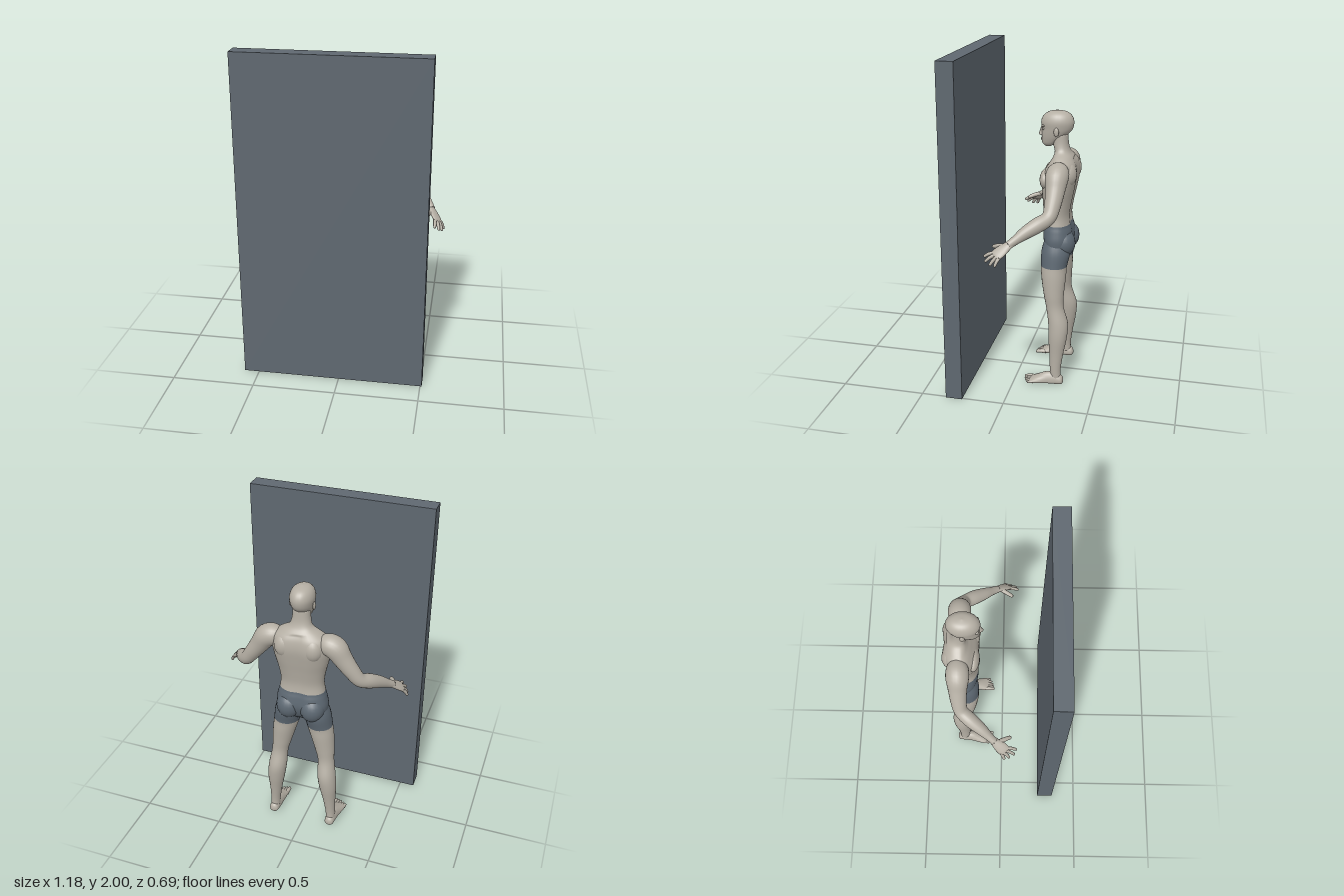
import * as THREE from 'three';

const skin = new THREE.MeshStandardMaterial({ color: 0xb5afa4 });
skin.name = 'skin';
const cloth = new THREE.MeshStandardMaterial({ color: 0x5d6872 });
cloth.name = 'shorts cloth';
const slate = new THREE.MeshStandardMaterial({ color: 0x5f6870 });
slate.name = 'panel slate';

// Smooth closed skin through rows of [x, y, z, halfWidth, front, back].
// ref: direction of the width; flat: keep the rings horizontal;
// split: row at which the second material starts; bulge(angle, y): radius factor.
function loft(parent, name, rows, opt = {}) {
  const { m = 1, ref = [1, 0, 0], flat = false, split, mats = [skin, skin], sides = 24, steps = 5, bulge, power = 1 } = opt;
  const segs = (rows.length - 1) * steps;
  const sample = (u) => {
    const i = Math.min(Math.floor(u), rows.length - 2), t = u - i;
    const r = (k) => rows[Math.max(0, Math.min(rows.length - 1, k))];
    return rows[0].map((_, k) => {
      const [a, b, c, d] = [r(i - 1)[k], r(i)[k], r(i + 1)[k], r(i + 2)[k]];
      return 0.5 * (2 * b + (c - a) * t + (2 * a - 5 * b + 4 * c - d) * t * t + (3 * b - a - 3 * c + d) * t * t * t);
    });
  };
  const rings = [];
  for (let i = 0; i <= segs; i++) rings.push(sample(i / steps));
  const pos = [], index = [];
  const at = (i) => new THREE.Vector3(...rings[Math.max(0, Math.min(segs, i))].slice(0, 3));
  const bend = (v) => Math.sign(v) * Math.abs(v) ** power;
  rings.forEach((r, i) => {
    const t = flat ? new THREE.Vector3(0, 1, 0) : at(i + 1).sub(at(i - 1)).normalize();
    const side = new THREE.Vector3(...ref);
    side.addScaledVector(t, -side.dot(t)).normalize();
    const fwd = side.clone().cross(t);
    for (let j = 0; j < sides; j++) {
      const a = (j / sides) * Math.PI * 2, c = Math.cos(a), s = Math.sin(a);
      const k = bulge ? bulge(c, s, r[1]) : 1;
      const p = at(i)
        .addScaledVector(side, bend(c) * Math.max(r[3], 0.001))
        .addScaledVector(fwd, bend(s) * k * Math.max(s > 0 ? r[4] : r[5], 0.001));
      pos.push(p.x * m, p.y, p.z);
    }
  });
  const tri = (a, b, c) => (m > 0 ? index.push(a, b, c) : index.push(a, c, b));
  for (let i = 0; i < segs; i++) {
    for (let j = 0; j < sides; j++) {
      const a = i * sides + j, b = i * sides + ((j + 1) % sides);
      tri(a, a + sides, b);
      tri(b, a + sides, b + sides);
    }
  }
  const cut = split === undefined ? index.length : split * steps * sides * 6;
  // end caps
  for (const [ring, up] of [[0, false], [segs, true]]) {
    for (let j = 1; j < sides - 1; j++) {
      const a = ring * sides;
      if (up) tri(a, a + j + 1, a + j); else tri(a, a + j, a + j + 1);
    }
  }
  const geo = new THREE.BufferGeometry();
  geo.setAttribute('position', new THREE.Float32BufferAttribute(pos, 3));
  geo.setIndex(index);
  geo.computeVertexNormals();
  if (split !== undefined) {
    geo.addGroup(0, cut, 0);
    geo.addGroup(cut, index.length - cut, 1);
  }
  const mesh = new THREE.Mesh(geo, split === undefined ? mats[0] : mats);
  mesh.name = name;
  parent.add(mesh);
}

// Ellipsoid for soft forms
function ball(parent, name, [x, y, z], [rx, ry, rz], mat = skin) {
  const mesh = new THREE.Mesh(new THREE.SphereGeometry(1, 20, 14).scale(rx, ry, rz), mat);
  mesh.position.set(x, y, z);
  mesh.name = name;
  parent.add(mesh);
}

// Tapered, rounded finger or toe from a to b
function digit(parent, name, a, b, r, m, lift = 0.004) {
  const row = (t, k) => [0, 1, 2].map((i) => a[i] + (b[i] - a[i]) * t + (i === 1 ? lift * Math.sin(t * Math.PI) : 0)).concat([r * k, r * k, r * k]);
  loft(parent, name, [row(0, 1), row(0.5, 0.95), row(0.88, 0.8), row(0.97, 0.5), row(1, 0.05)], { m, sides: 10, steps: 3 });
}

function buildHead(body) {
  loft(body, 'head', [
    [0, 1.452, -0.16, 0.012, 0.015, 0.015], [0, 1.47, -0.175, 0.036, 0.05, 0.03],
    [0, 1.5, -0.19, 0.051, 0.069, 0.05], [0, 1.53, -0.2, 0.06, 0.079, 0.078],
    [0, 1.56, -0.21, 0.066, 0.088, 0.092], [0, 1.6, -0.215, 0.07, 0.098, 0.095],
    [0, 1.635, -0.215, 0.06, 0.082, 0.082], [0, 1.657, -0.215, 0.037, 0.05, 0.052],
    [0, 1.666, -0.215, 0.002, 0.002, 0.002]], { flat: true });
  loft(body, 'nose', [
    [0, 1.513, -0.125, 0.008, 0.008, 0.01], [0, 1.521, -0.122, 0.014, 0.019, 0.01],
    [0, 1.535, -0.122, 0.009, 0.015, 0.01], [0, 1.572, -0.124, 0.006, 0.006, 0.01]], { flat: true, sides: 12, steps: 3 });
  ball(body, 'upperLip', [0, 1.499, -0.126], [0.02, 0.005, 0.01]);
  ball(body, 'lowerLip', [0, 1.49, -0.127], [0.017, 0.005, 0.01]);
  for (const m of [1, -1]) {
    ball(body, 'eyelid', [m * 0.028, 1.56, -0.138], [0.014, 0.008, 0.01]);
    ball(body, 'brow', [m * 0.028, 1.579, -0.137], [0.024, 0.007, 0.012]);
    ball(body, 'ear', [m * 0.068, 1.55, -0.218], [0.008, 0.026, 0.015]);
  }
}

function buildTorso(body) {
  // groove along the spine and breastbone
  const bulge = (c, s, y) => 1 - (y < 1.4 ? (s < 0 ? 0.13 : 0.05) * Math.exp(-((c / 0.22) ** 2)) : 0);
  loft(body, 'torso', [
    [0, 0.8, -0.225, 0.05, 0.045, 0.05], [0, 0.84, -0.23, 0.14, 0.075, 0.08],
    [0, 0.9, -0.23, 0.158, 0.085, 0.1], [0, 0.96, -0.23, 0.148, 0.09, 0.092],
    [0, 1.0, -0.23, 0.137, 0.09, 0.08], [0, 1.06, -0.23, 0.13, 0.09, 0.075],
    [0, 1.14, -0.23, 0.142, 0.095, 0.088], [0, 1.22, -0.23, 0.162, 0.1, 0.105],
    [0, 1.3, -0.23, 0.175, 0.092, 0.118], [0, 1.36, -0.235, 0.168, 0.065, 0.104],
    [0, 1.4, -0.24, 0.12, 0.045, 0.075], [0, 1.43, -0.243, 0.07, 0.042, 0.05],
    [0, 1.47, -0.235, 0.054, 0.045, 0.045], [0, 1.53, -0.225, 0.05, 0.045, 0.05]],
  { flat: true, split: 4, mats: [cloth, skin], sides: 40, power: 0.88, bulge });
  for (const m of [1, -1]) {
    ball(body, 'chestMuscle', [m * 0.075, 1.275, -0.165], [0.08, 0.06, 0.037]);
    ball(body, 'shoulderBlade', [m * 0.085, 1.31, -0.29], [0.06, 0.075, 0.055]);
    ball(body, 'buttock', [m * 0.073, 0.885, -0.268], [0.075, 0.085, 0.075], cloth);
  }
}

function buildLeg(body, m) {
  loft(body, 'leg', [
    [0.187, 0.04, -0.258, 0.028, 0.03, 0.03], [0.185, 0.1, -0.254, 0.03, 0.033, 0.033],
    [0.178, 0.2, -0.258, 0.039, 0.043, 0.042], [0.17, 0.31, -0.264, 0.053, 0.057, 0.055],
    [0.16, 0.4, -0.258, 0.056, 0.055, 0.064], [0.15, 0.5, -0.24, 0.05, 0.053, 0.052],
    [0.138, 0.58, -0.23, 0.06, 0.061, 0.061], [0.12, 0.68, -0.225, 0.072, 0.074, 0.073],
    [0.105, 0.75, -0.224, 0.078, 0.079, 0.077], [0.09, 0.84, -0.225, 0.08, 0.08, 0.092],
    [0.08, 0.92, -0.225, 0.06, 0.06, 0.07]], { m, flat: true, split: 8, mats: [skin, cloth] });
  loft(body, 'foot', [
    [0.188, 0.025, -0.304, 0.008, 0.008, 0.01], [0.188, 0.025, -0.292, 0.027, 0.022, 0.032],
    [0.188, 0.025, -0.25, 0.032, 0.024, 0.052], [0.19, 0.023, -0.2, 0.036, 0.021, 0.052],
    [0.195, 0.022, -0.15, 0.043, 0.02, 0.03], [0.197, 0.02, -0.115, 0.045, 0.017, 0.014],
    [0.197, 0.018, -0.1, 0.036, 0.008, 0.007]], { m, sides: 20 });
  // toes, the big one on the inner side
  [-0.06, -0.062, -0.068, -0.077, -0.088].forEach((tip, i) => {
    const x = 0.164 + i * 0.0175;
    digit(body, 'toe', [x, 0.018, -0.125], [x + 0.001, 0.011, tip], i ? 0.0095 : 0.0135, m);
  });
}

function buildArm(body, m) {
  const arm = [
    [0.1, 1.35, -0.25, 0.03], [0.15, 1.342, -0.25, 0.06], [0.205, 1.322, -0.25, 0.067],
    [0.25, 1.26, -0.25, 0.056], [0.3, 1.19, -0.246, 0.047], [0.345, 1.13, -0.232, 0.041],
    [0.388, 1.098, -0.18, 0.043], [0.43, 1.063, -0.12, 0.036], [0.465, 1.03, -0.073, 0.026],
    [0.49, 1.005, -0.038, 0.022]];
  loft(body, 'arm', arm.map((r) => [...r, r[3], r[3]]), { m, ref: [1, 1, 0] });
  loft(body, 'palm', [
    [0.475, 1.02, -0.06, 0.02, 0.018, 0.018], [0.495, 0.999, -0.031, 0.028, 0.016, 0.016],
    [0.517, 0.975, 0, 0.037, 0.014, 0.014], [0.533, 0.957, 0.022, 0.036, 0.011, 0.011],
    [0.539, 0.951, 0.03, 0.028, 0.005, 0.005]], { m, ref: [-0.58, 0.41, 0.7], sides: 18 });
  const fingers = [
    [[0.517, 0.966, 0.035], [0.52, 0.937, 0.095]], [[0.528, 0.959, 0.025], [0.546, 0.918, 0.083]],
    [[0.538, 0.952, 0.014], [0.562, 0.904, 0.052]], [[0.545, 0.947, 0.002], [0.57, 0.902, 0.022]]];
  fingers.forEach(([a, b]) => digit(body, 'finger', a, b, 0.0105, m, 0.006));
  digit(body, 'thumb', [0.493, 0.998, -0.02], [0.454, 0.976, 0.06], 0.014, m);
}

export function createModel() {
  const model = new THREE.Group();
  model.name = 'figureBehindPanel';

  const panel = new THREE.Mesh(new THREE.BoxGeometry(1.1, 2, 0.1), slate);
  panel.position.set(-0.04, 1, 0.3);
  panel.name = 'panel';
  model.add(panel);

  const body = new THREE.Group();
  body.name = 'figure';
  body.position.x = 0.015;
  buildHead(body);
  buildTorso(body);
  for (const m of [1, -1]) {
    buildLeg(body, m);
    buildArm(body, m);
  }
  model.add(body);
  return model;
}
